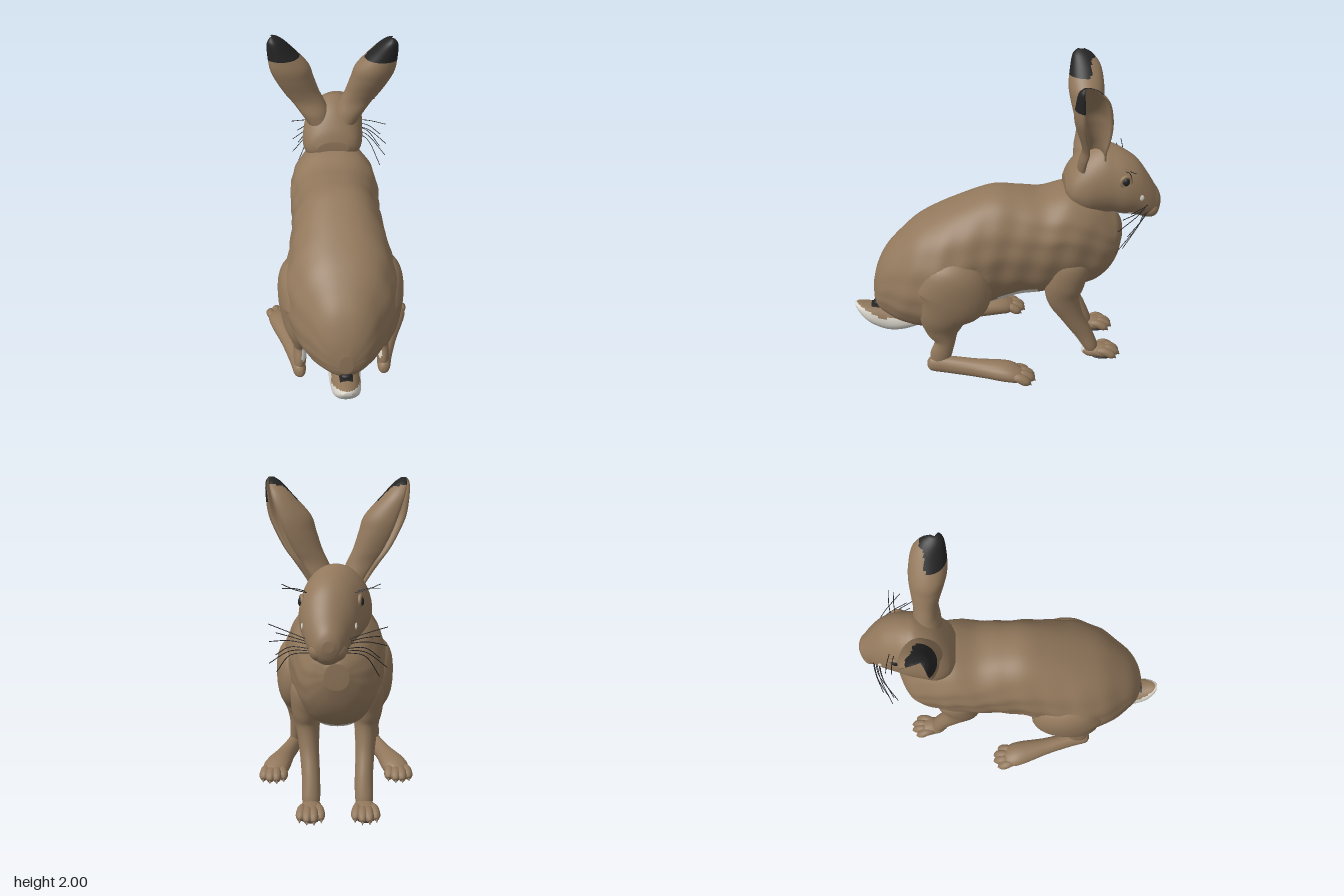
import * as THREE from 'three';

const material = (name, color) => {
  const m = new THREE.MeshStandardMaterial({ color });
  m.name = name;
  return m;
};
const V = (x, y, z) => new THREE.Vector3(x, y, z);

// Catmull-Rom interpolation of table rows, n steps per span
function smooth(rows, n) {
  const out = [];
  for (let i = 0; i < rows.length - 1; i++) {
    const a = rows[Math.max(i - 1, 0)], b = rows[i], c = rows[i + 1], d = rows[Math.min(i + 2, rows.length - 1)];
    for (let k = 0; k < n; k++) {
      const t = k / n;
      out.push(b.map((v, q) => 0.5 * (2 * v + (c[q] - a[q]) * t + (2 * a[q] - 5 * v + 4 * c[q] - d[q]) * t * t
        + (3 * v - a[q] - 3 * c[q] + d[q]) * t * t * t)));
    }
  }
  out.push(rows[rows.length - 1]);
  return out;
}

// Skin closed rings; pick(point, j) returns the material index of each quad
function loft(name, rings, mats, pick = () => 0, mirror = false) {
  const m = rings[0].length, buckets = mats.map(() => []);
  const skin = rings.map(r => mirror ? r.map(p => V(-p.x, p.y, p.z)).reverse() : r);
  const centre = r => r.reduce((s, p) => s.add(p), V(0, 0, 0)).divideScalar(r.length);
  const pts = [...skin.flat(), centre(skin[0]), centre(skin[skin.length - 1])];
  const face = (j, corners, ...index) =>
    buckets[pick(centre(corners.map(i => pts[i])), mirror ? m - 1 - j : j)].push(...index);
  for (let j = 0; j < m; j++) {
    const k = (j + 1) % m, e = (skin.length - 1) * m;
    for (let o = 0; o < e; o += m) {
      const a = o + j, b = o + k, c = b + m, d = a + m;
      face(j, [a, b, c, d], a, b, d, b, c, d);
    }
    face(j, [k, j], pts.length - 2, k, j);
    face(j, [e + j, e + k], pts.length - 1, e + j, e + k);
  }
  const g = new THREE.BufferGeometry().setFromPoints(pts);
  g.setIndex(buckets.flat());
  let start = 0;
  buckets.forEach((b, i) => { if (b.length) g.addGroup(start, b.length, i); start += b.length; });
  g.computeVertexNormals();
  const mesh = new THREE.Mesh(g, mats);
  mesh.name = name;
  return mesh;
}

// Rings from rows [z, centre x, top, bottom, half width, height of widest point], running towards -z
function profile(rows, n, m, power = 1, bump = 0) {
  return smooth(rows, n).map(([z, cx, top, bot, hw, widest = 0.45]) => {
    const mid = bot + (top - bot) * widest;
    return Array.from({ length: m }, (_, j) => {
      const a = j / m * Math.PI * 2, s = Math.sin(a), c = Math.cos(a);
      const f = 1 + bump * Math.sin(z * 23 + s * 6) * Math.sin(z * 11 - s * 9) * Math.abs(c);
      const w = Math.sign(c) * Math.abs(c) ** power;
      return V(cx + hw * w * f, mid - s * (s > 0 ? mid - bot : top - mid), z);
    });
  });
}

// Rings across a path of rows [x, y, z, side radius, depth radius]
function limb(rows, n = 5, m = 20) {
  const r = smooth(rows, n);
  return r.map((q, i) => {
    const a = r[Math.max(i - 1, 0)], b = r[Math.min(i + 1, r.length - 1)];
    const t = V(b[0] - a[0], b[1] - a[1], b[2] - a[2]).normalize();
    const s = V(1, 0, 0).addScaledVector(t, -t.x).normalize(), d = t.clone().cross(s);
    return Array.from({ length: m }, (_, j) => {
      const u = j / m * Math.PI * 2;
      return V(q[0], q[1], q[2]).addScaledVector(s, q[3] * Math.cos(u)).addScaledVector(d, q[4] * Math.sin(u));
    });
  });
}

export function createModel() {
  const fur = material('brown fur', 0x92785c), white = material('white fur', 0xd8d4ca), black = material('black', 0x242424);
  const mats = [fur, white, black];
  const hare = new THREE.Group();
  hare.name = 'hare';
  const ball = (name, mat, x, y, z, a, b, c) => {
    const o = new THREE.Mesh(new THREE.SphereGeometry(1, 20, 14), mat);
    o.name = name;
    o.position.set(x, y, z);
    o.scale.set(a, b, c);
    hare.add(o);
  };

  // Trunk with white belly
  const belly = p => p.z < .62 && p.z > -.62 && p.y < Math.min(.58, .54 - (p.z > 0 ? .45 : .25) * p.z)
    && (p.z > -.21 || p.z < -.46 || Math.abs(p.x) < .14);
  hare.add(loft('body', profile([
    [.86, 0, .56, .42, .04, .45], [.83, 0, .68, .37, .12, .45], [.77, 0, .80, .33, .19, .45], [.68, 0, .90, .29, .26, .45],
    [.55, 0, 1.01, .27, .335, .46], [.4, 0, 1.09, .29, .36, .47], [.2, 0, 1.175, .38, .325, .5], [.05, 0, 1.22, .43, .3, .53],
    [-.1, 0, 1.21, .47, .29, .56], [-.25, 0, 1.195, .485, .295, .6], [-.4, 0, 1.23, .52, .29, .6], [-.5, 0, 1.22, .53, .27, .58],
    [-.6, 0, 1.18, .56, .24, .55], [-.68, 0, 1.11, .63, .2, .5], [-.73, .01, 1.05, .72, .15, .5], [-.765, .01, .98, .83, .07, .5],
  ], 8, 72, .85, .025), mats, p => belly(p) ? 1 : 0));

  // Head with white throat
  hare.add(loft('head', profile([
    [-.385, 0, 1.29, 1.2, .1], [-.42, 0, 1.37, 1.12, .165], [-.5, 0, 1.47, 1.05, .2], [-.6, .01, 1.525, 1.05, .2],
    [-.67, .02, 1.515, 1.06, .195], [-.75, .04, 1.48, 1.055, .18], [-.83, .05, 1.425, 1.05, .155],
    [-.9, .06, 1.335, 1.03, .12], [-.95, .06, 1.255, 1.03, .09], [-.98, .06, 1.21, 1.06, .065], [-.995, .06, 1.17, 1.11, .03],
  ], 6, 48), mats, p => p.z < -.6 && p.z > -.9 && p.y < (p.z > -.82 ? 1.1 : 1.065) ? 1 : 0));

  // Tail: white below, brown above, dark spot at the root
  hare.add(loft('tail', profile([
    [.995, 0, .4, .37, .025], [.96, 0, .398, .31, .06], [.9, 0, .388, .245, .085], [.8, 0, .375, .19, .095],
    [.7, 0, .36, .185, .1], [.6, 0, .34, .21, .09], [.5, 0, .33, .25, .07], [.44, 0, .32, .28, .03],
  ], 7, 40), mats, p => p.z < .89 && p.y > .365 && Math.abs(p.x) < .045 ? 2 : p.y > .31 + Math.max(0, p.z - .82) * .55 ? 0 : 1));
  ball('tailRootSpot', black, 0, .395, .85, .035, .016, .025);

  for (const side of [1, -1]) {
    const mirror = side < 0, word = mirror ? 'right' : 'left';
    const add = (name, rings, pick) => hare.add(loft(word + name, rings, mats, pick, mirror));

    // Ear: crescent section opening outward, black on the back of the tip
    const outer = 28, open = .3, reach = .95;
    const lean = y => mirror ? .12 * Math.max(0, y - 1.45) : 0;
    const ear = smooth([
      [1.36, .08, -.54, .08, .09], [1.45, .12, -.54, .1, .085], [1.53, .165, -.54, .112, .075], [1.6, .208, -.535, .122, .085],
      [1.7, .253, -.52, .134, .105], [1.79, .287, -.505, .137, .113], [1.9, .338, -.49, .09, .098],
      [1.97, .366, -.465, .052, .065], [2, .375, -.45, .016, .025],
    ], 7).map(([y, x, z, rx, rz]) => Array.from({ length: outer * 2 }, (_, j) => {
      const inner = j >= outer, k = inner ? outer * 2 - 1 - j : j, f = inner ? .86 : 1;
      const a = open + reach + k / (outer - 1) * (Math.PI * 2 - 2 * reach);
      return V(x + rx * f * Math.cos(a), y, z - rz * f * Math.sin(a) - lean(y));
    }));
    add('Ear', ear, (p, j) => j < outer && p.y > 1.85 && p.z + lean(p.y) > (p.y > 1.95 ? -.54 : -.515) ? 2 : 0);

    // Hind leg and long foot
    add('HindLeg', limb([
      [.22, .88, .33, .03, .06], [.265, .77, .33, .115, .19], [.275, .6, .34, .125, .245], [.275, .45, .4, .1, .165],
      [.27, .34, .41, .065, .115], [.268, .24, .4, .047, .068], [.275, .14, .43, .042, .07], [.28, .06, .45, .035, .05],
    ], 7, 32), p => Math.abs(p.x) < .262 && p.y < .5 && p.y > .16 ? 1 : 0);
    add('HindFoot', limb([
      [.28, .075, .52, .015, .02], [.28, .073, .49, .04, .052], [.295, .07, .38, .05, .06], [.34, .07, .2, .06, .06],
      [.385, .072, .02, .085, .062], [.405, .06, -.06, .08, .05], [.405, .05, -.1, .05, .035],
    ]));

    // Foreleg, white on the back and inside
    add('Foreleg', limb([
      [.16, .88, -.44, .03, .05], [.175, .76, -.42, .1, .13], [.185, .62, -.39, .095, .13], [.18, .5, -.385, .075, .11],
      [.17, .35, -.445, .06, .075], [.16, .2, -.53, .055, .06], [.16, .1, -.58, .055, .05], [.16, .05, -.6, .045, .04],
    ], 7, 32), p => p.y < .52 && p.z > -.36 - (.6 - p.y) * .42 && Math.abs(p.x) < .188 ? 1 : 0);
    add('Forefoot', limb([
      [.16, .05, -.53, .02, .02], [.16, .05, -.57, .052, .04], [.16, .052, -.62, .064, .046],
      [.165, .05, -.68, .07, .042], [.165, .043, -.72, .05, .03],
    ]), p => p.z > -.57 && p.x * side < .18 ? 1 : 0);
    ball(word + 'ForePad', black, side * .163, .014, -.67, .06, .012, .085);

    // Toes and claws
    for (let k = 0; k < 4; k++) {
      const o = (k - 1.5) / 1.5, back = Math.abs(o) > .5 ? .03 : 0;
      for (const [name, x, z, w, r] of [['Hind', .41, -.165, .055, .031], ['Fore', .163, -.765, .052, .027]]) {
        const tx = x + o * w, tz = z + back;
        add(name + 'Toe', limb([
          [tx - o * .01, .066, tz + .11, r * .6, r * .6], [tx, .066, tz + .06, r, r], [tx + o * .008, .044, tz + .015, r, r],
          [tx + o * .01, .03, tz - .01, r * .5, r * .5],
        ], 4, 12));
        add(name + 'Claw', limb([
          [tx + o * .01, .035, tz, .008, .008], [tx + o * .012, .025, tz - .014, .006, .007], [tx + o * .012, .014, tz - .02, .001, .001],
        ], 3, 8));
      }
    }

    // Eye with lids, cheek spot, muzzle pad
    const ex = .04 + side * .165;
    ball(word + 'Eye', black, ex, 1.335, -.74, .018, .027, .023);
    const lid = new THREE.Mesh(new THREE.TorusGeometry(.032, .012, 10, 28), fur);
    lid.name = word + 'Eyelid';
    lid.position.set(ex - side * .004, 1.335, -.74);
    lid.rotation.y = Math.PI / 2 + side * .2;
    hare.add(lid);
    ball(word + 'CheekSpot', white, .052 + side * .146, 1.22, -.845, .007, .02, .017);
    ball(word + 'MuzzlePad', fur, .06 + side * .042, 1.105, -.925, .062, .06, .058);

    // Whiskers on muzzle and brow
    const whisker = (a, b, c) => {
      const w = new THREE.Mesh(new THREE.TubeGeometry(new THREE.CatmullRomCurve3([a, b, c]), 10, .0025, 5), black);
      w.name = word + 'Whisker';
      hare.add(w);
    };
    const sweep = mirror ? .5 : 1;
    for (let k = 0; k < 6; k++) {
      const y = 1.15 - k * .014, z = -.91 + (k % 3) * .015;
      whisker(V(.06 + side * .08, y, z), V(.06 + side * .2, y + .035 - k * .012, z + .06 * sweep),
        V(.06 + side * (.33 - (k % 2) * .04), y + .06 - k * .045, z + (.17 + (k % 3) * .02) * sweep));
    }
    for (let k = 0; k < 2; k++)
      whisker(V(.04 + side * .13, 1.39, -.74 - k * .03), V(.04 + side * .2, 1.41, -.75 - k * .03),
        V(.04 + side * .27, 1.41 + k * .03, -.75 - k * .03));
  }
  return hare;
}
